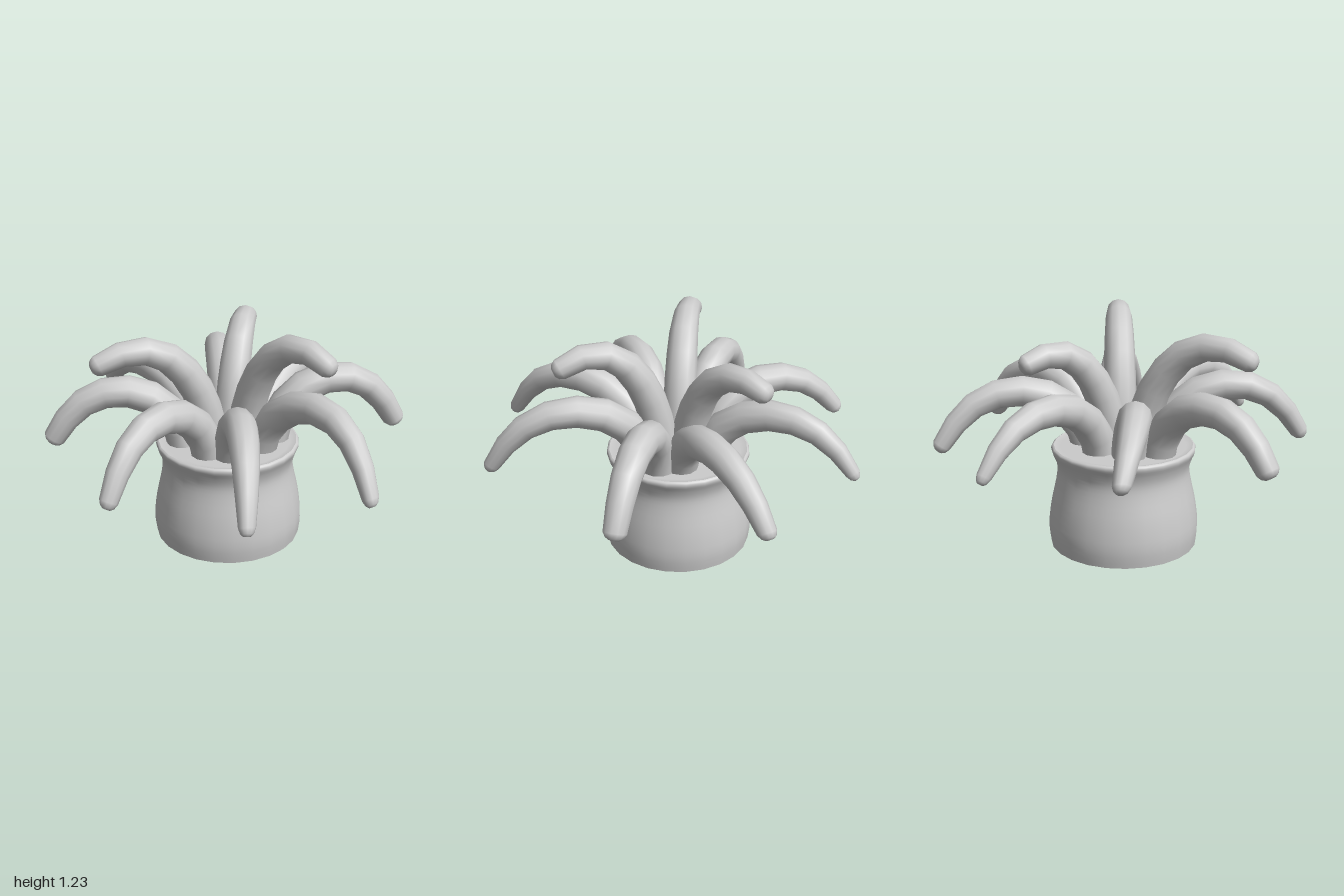
import * as THREE from 'three';
import { mergeVertices } from 'three/addons/utils/BufferGeometryUtils.js';

const material = new THREE.MeshStandardMaterial({ color: 0xcccccc });
const BASE_Y = 0.5;

// Arc shapes: [fraction of reach, fraction of rise]; the last height comes from the tip
const outerArc = [[0, 0], [0.03, 0.3], [0.1, 0.58], [0.25, 0.87], [0.48, 1], [0.7, 0.87], [0.87, 0.5], [1, 0]];
const innerArc = [[0, 0], [0.08, 0.4], [0.22, 0.72], [0.45, 0.95], [0.7, 1], [1, 0]];

// Tapered round arm from root to tip (x, z), bowed sideways in plan
function tentacle(name, arc, root, tip, peakY, tipY, bow, r0, r1) {
  const dir = new THREE.Vector3(tip[0] - root[0], 0, tip[1] - root[1]);
  const side = new THREE.Vector3(-dir.z, 0, dir.x).normalize();
  const peakAt = arc.findIndex(p => p[1] === 1);
  const points = arc.map(([t, h], i) => {
    const low = i > peakAt ? tipY : BASE_Y;
    return new THREE.Vector3(root[0], low + (peakY - low) * h, root[1])
      .addScaledVector(dir, t)
      .addScaledVector(side, bow * 4 * t * (1 - t));
  });
  const curve = new THREE.CatmullRomCurve3(points);

  // Rings: [position along the arm, radius], closing with a blunt tip
  const rings = [];
  for (let i = 0; i <= 8; i++) {
    const u = (i / 8) * 0.965;
    rings.push([u, r0 + (r1 - r0) * Math.pow(i / 8, 2.3)]);
  }
  rings.push([0.988, r1 * 0.75], [0.999, r1 * 0.42], [1, 0]);

  // Wrap a flat grid around the rings, skin facing outwards
  const around = 12;
  const geo = new THREE.PlaneGeometry(1, 1, around, rings.length - 1);
  const pos = geo.attributes.position;
  rings.forEach(([u, r], j) => {
    const centre = curve.getPointAt(u);
    const normal = new THREE.Vector3().crossVectors(side, curve.getTangentAt(u)).normalize();
    for (let i = 0; i <= around; i++) {
      const a = ((i % around) / around) * Math.PI * 2;
      const p = centre.clone().addScaledVector(side, r * Math.cos(a)).addScaledVector(normal, r * Math.sin(a));
      pos.setXYZ(j * (around + 1) + i, p.x, p.y, p.z);
    }
  });
  geo.deleteAttribute('uv');
  geo.deleteAttribute('normal');
  const welded = mergeVertices(geo, 1e-5);
  welded.computeVertexNormals();
  const mesh = new THREE.Mesh(welded, material);
  mesh.name = name;
  return mesh;
}

export function createModel() {
  const group = new THREE.Group();
  group.name = 'seaAnemone';

  // Column: bulging foot, narrow neck, flared lip and oral disc
  const column = new THREE.Group();
  column.name = 'column';
  column.position.x = -0.037;
  const wall = new THREE.SplineCurve([
    [0.397, 0], [0.407, 0.1], [0.392, 0.23], [0.364, 0.36], [0.357, 0.43], [0.37, 0.485],
    [0.387, 0.525], [0.386, 0.545], [0.375, 0.553],
  ].map(p => new THREE.Vector2(...p))).getPoints(24);
  const body = new THREE.Mesh(new THREE.LatheGeometry(wall, 24), material);
  body.name = 'body';
  const disc = new THREE.Mesh(new THREE.LatheGeometry(
    [[0.375, 0.553], [0.34, 0.545], [0.15, 0.555], [0, 0.56]].map(p => new THREE.Vector2(...p)), 24), material);
  disc.name = 'oralDisc';
  const foot = new THREE.Mesh(new THREE.CircleGeometry(0.397, 24), material);
  foot.rotation.x = Math.PI / 2;
  foot.name = 'foot';
  column.add(body, disc, foot);
  group.add(column);

  // Outer ring: root, tip, peak height, tip height, sideways bow, tip radius
  const outer = [
    [[0.15, -0.03], [0.98, 0.125], 0.88, 0.545, -0.06, 0.044],
    [[0.1, 0.14], [0.695, 0.73], 0.87, 0.55, -0.02, 0.042],
    [[0, 0.19], [0.035, 0.98], 0.87, 0.56, 0.02, 0.048],
    [[-0.19, 0.17], [-0.68, 0.69], 0.855, 0.58, 0.01, 0.06],
    [[-0.22, 0.02], [-0.98, -0.045], 0.855, 0.625, -0.05, 0.046],
    [[-0.14, -0.12], [-0.74, -0.7], 0.855, 0.59, -0.01, 0.038],
    [[0.02, -0.18], [-0.125, -0.98], 0.84, 0.55, 0.05, 0.05],
    [[0.13, -0.16], [0.57, -0.74], 0.87, 0.56, -0.01, 0.06],
  ];
  outer.forEach(([root, tip, peak, low, bow, r], i) =>
    group.add(tentacle('outerTentacle' + (i + 1), outerArc, root, tip, peak, low, bow, 0.092, r)));

  // Inner ring: taller, less drooping
  const inner = [
    [[0.05, -0.015], [0.635, -0.01], 1.175, 1.11, 0],
    [[-0.07, 0.07], [-0.38, 0.65], 1.13, 1.065, -0.01],
    [[-0.06, -0.05], [-0.32, -0.52], 1.09, 1.045, 0.01],
  ];
  inner.forEach(([root, tip, peak, low, bow], i) =>
    group.add(tentacle('innerTentacle' + (i + 1), innerArc, root, tip, peak, low, bow, 0.092, 0.055)));

  return group;
}
